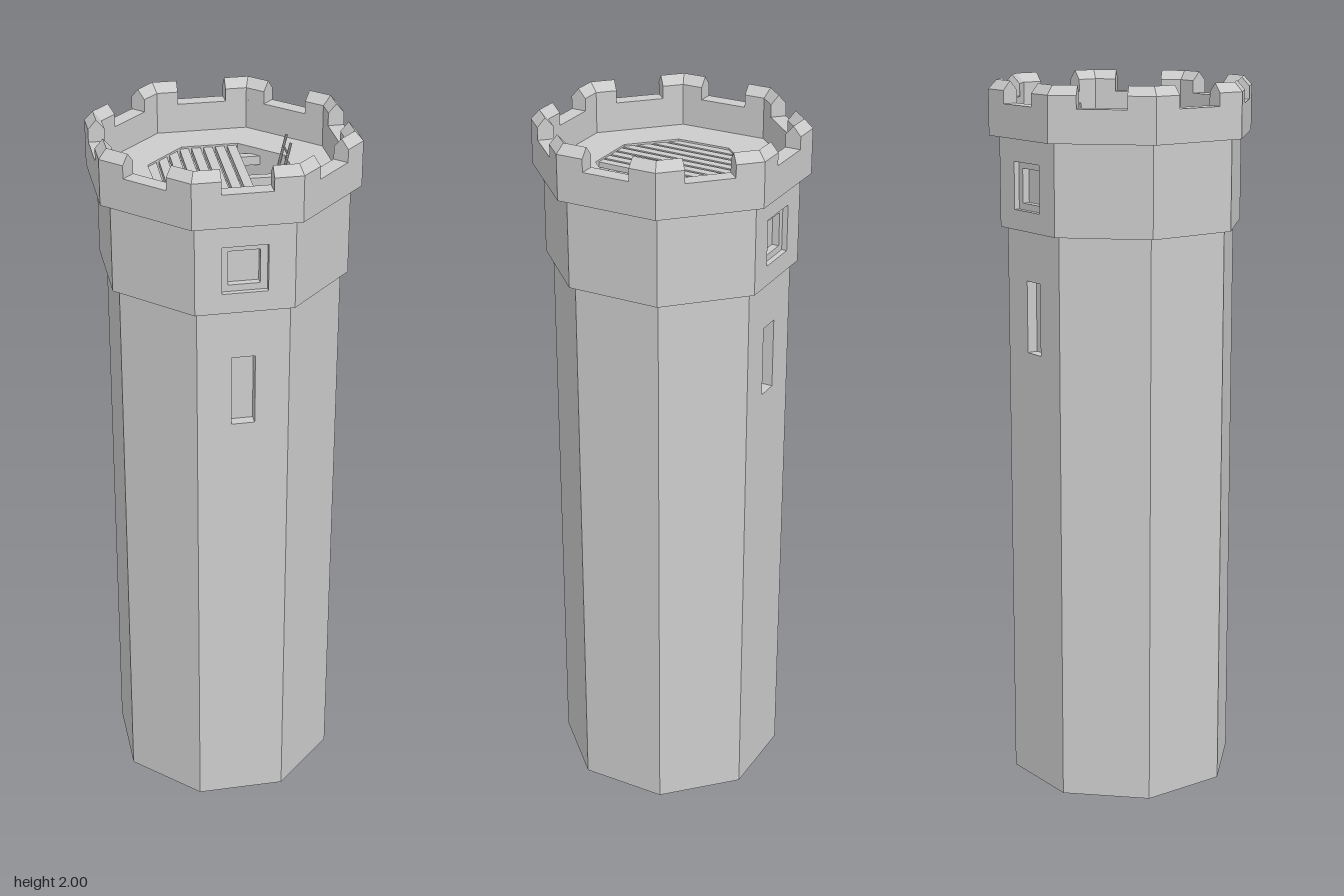
import * as THREE from 'three';

const DEG = Math.PI / 180, TURN = 2 * DEG, HALF = Math.PI / 8;
const mat = new THREE.MeshStandardMaterial({ color: 0xcccccc, flatShading: true, side: THREE.DoubleSide });

// [x, z] corners of the slightly turned octagon
const corner = (r, k) => {
  const a = (20.5 + 45 * k) * DEG;
  return [r * Math.cos(a), r * Math.sin(a)];
};
const octagon = (r) => Array.from({ length: 8 }, (_, k) => corner(r, k));

function add(parent, name, geo) {
  const mesh = new THREE.Mesh(geo, mat);
  mesh.name = name;
  parent.add(mesh);
  return mesh;
}

// Flat outline in x/z raised from y0 to y1, optionally with a hole
function prism(points, y0, y1, hole) {
  const toV = ([x, z]) => new THREE.Vector2(x, -z);
  const shape = new THREE.Shape(points.map(toV));
  if (hole) shape.holes.push(new THREE.Path(hole.map(toV)));
  const geo = new THREE.ExtrudeGeometry(shape, { depth: y1 - y0, bevelEnabled: false });
  return geo.rotateX(-Math.PI / 2).translate(0, y0, 0);
}

// Keep the part of a convex outline with min <= p[axis] <= max
function clip(points, axis, min, max) {
  for (const [limit, s] of [[min, 1], [max, -1]]) {
    const out = [];
    points.forEach((p, i) => {
      const q = points[(i + 1) % points.length];
      const dp = s * (p[axis] - limit), dq = s * (q[axis] - limit);
      if (dp >= 0) out.push(p);
      if (dp * dq < 0) {
        const t = dp / (dp - dq);
        out.push([p[0] + (q[0] - p[0]) * t, p[1] + (q[1] - p[1]) * t]);
      }
    });
    points = out;
  }
  return points;
}

const rect = (C, w, h, y) => new C([[-1, -1], [1, -1], [1, 1], [-1, 1]]
  .map(([i, j]) => new THREE.Vector2(i * w / 2, y + j * h / 2)));

// One wall face, local +z outward; steps = [[w, h, depth], ...] makes a recessed window
function wallFace(side, r, y0, y1, yWin, steps) {
  const z = r * Math.cos(HALF);
  const wall = rect(THREE.Shape, 2 * r * Math.sin(HALF), y1 - y0, (y0 + y1) / 2);
  if (steps) wall.holes.push(rect(THREE.Path, steps[0][0], steps[0][1], yWin));
  add(side, 'wallFace', new THREE.ShapeGeometry(wall)).position.z = z;
  if (!steps) return;
  let back = z - 0.0005;
  for (const [w, h, d] of steps) {
    const frame = rect(THREE.Shape, steps[0][0] + 0.02, steps[0][1] + 0.02, yWin);
    frame.holes.push(rect(THREE.Path, w, h, yWin));
    back -= d;
    add(side, 'windowFrame', new THREE.ExtrudeGeometry(frame, { depth: d, bevelEnabled: false })).position.z = back;
  }
  const pane = new THREE.BoxGeometry(steps[0][0] + 0.02, steps[0][1] + 0.02, 0.005);
  add(side, 'windowPane', pane).position.set(0, yWin, back - 0.0025);
}

// Corner merlon with a ridged top, swept end - corner - end
function merlon(k) {
  const R = 0.373, T = 0.0434, L = 0.076;
  const profile = [[0, 1.94], [0, 1.975], [0.5, 2], [1, 1.975], [1, 1.94]];
  const c = new THREE.Vector2(...corner(R, k));
  const end = (n) => {
    const dir = new THREE.Vector2(...corner(R, n)).sub(c).normalize();
    const mid = new THREE.Vector2(...corner(1, n)).add(new THREE.Vector2(...corner(1, k))).normalize();
    return profile.map(([t, y]) => {
      const p = c.clone().addScaledVector(dir, L).addScaledVector(mid, -T * t);
      return [p.x, y, p.y];
    });
  };
  const middle = profile.map(([t, y]) => {
    const [x, z] = corner(R - t * T / Math.cos(HALF), k);
    return [x, y, z];
  });
  const rows = [end(k - 1), middle, end(k + 1)];
  const pos = [];
  const tri = (...p) => p.forEach((v) => pos.push(...v));
  for (let i = 0; i < 2; i++) {
    for (let j = 0; j < 4; j++) {
      const a = rows[i][j], b = rows[i][j + 1], d = rows[i + 1][j], e = rows[i + 1][j + 1];
      tri(a, b, d);
      tri(b, e, d);
    }
  }
  const [A, , B] = rows;
  for (let j = 1; j < 4; j++) {
    tri(A[0], A[j + 1], A[j]);
    tri(B[0], B[j], B[j + 1]);
  }
  const geo = new THREE.BufferGeometry();
  geo.setAttribute('position', new THREE.Float32BufferAttribute(pos, 3));
  geo.computeVertexNormals();
  return geo;
}

// Round bar between two points
function bar(parent, name, a, b, r) {
  const curve = new THREE.LineCurve3(new THREE.Vector3(...a), new THREE.Vector3(...b));
  const len = curve.getLength();
  const mesh = add(parent, name, new THREE.CylinderGeometry(r, r, len, 8));
  mesh.position.copy(curve.getPoint(0.5));
  mesh.quaternion.setFromUnitVectors(new THREE.Vector3(0, 1, 0), curve.getTangent(0));
}

export function createModel() {
  const tower = new THREE.Group();
  tower.name = 'tower';

  // Shaft and upper room walls, windows at front and back
  for (let k = 0; k < 8; k++) {
    const side = new THREE.Group();
    side.name = 'towerSide';
    side.rotation.y = TURN + k * Math.PI / 4;
    const windowed = k % 4 === 0;
    wallFace(side, 0.324, 0, 1.6, 1.36, windowed && [[0.064, 0.2, 0.03]]);
    wallFace(side, 0.344, 1.6, 1.85, 1.72, windowed && [[0.122, 0.13, 0.015], [0.084, 0.094, 0.02]]);
    tower.add(side);
  }

  // Room floor (also the overhang underside), inner wall and roof walkway
  const holeR = 0.2025;
  add(tower, 'roomFloor', prism(octagon(0.344), 1.6, 1.606));
  add(tower, 'roomInnerWall', new THREE.CylinderGeometry(holeR, holeR, 0.25, 8, 1, true, 24.5 * DEG))
    .position.y = 1.73;
  add(tower, 'walkway', prism(octagon(0.335), 1.852, 1.86, octagon(holeR)));

  // Parapet and corner merlons
  add(tower, 'parapet', prism(octagon(0.373), 1.85, 1.94, octagon(0.326)));
  for (let k = 0; k < 8; k++) add(tower, 'merlon', merlon(k));

  // Plank deck on three joists, open on one side
  const hatch = octagon(holeR - 0.0005);
  for (let i = 0; i < 8; i++) {
    const x = -0.188 + i * 0.0329;
    add(tower, 'deckPlank', prism(clip(hatch, 0, x, x + 0.025), 1.84, 1.855));
  }
  for (const z of [-0.15, 0.001, 0.139]) {
    add(tower, 'joist', prism(clip(hatch, 1, z - 0.012, z + 0.012), 1.815, 1.84));
  }

  // Ladder leaning on the edge of the opening
  const ladder = new THREE.Group();
  ladder.name = 'ladder';
  for (const z of [-0.082, -0.018]) bar(ladder, 'ladderRail', [0.113, 1.606, z], [0.187, 1.92, z], 0.004);
  for (let i = 0; i < 6; i++) {
    const t = 0.1 + i * 0.16;
    const x = 0.113 + 0.074 * t, y = 1.606 + 0.314 * t;
    bar(ladder, 'ladderRung', [x, y, -0.082], [x, y, -0.018], 0.003);
  }
  tower.add(ladder);
  return tower;
}
